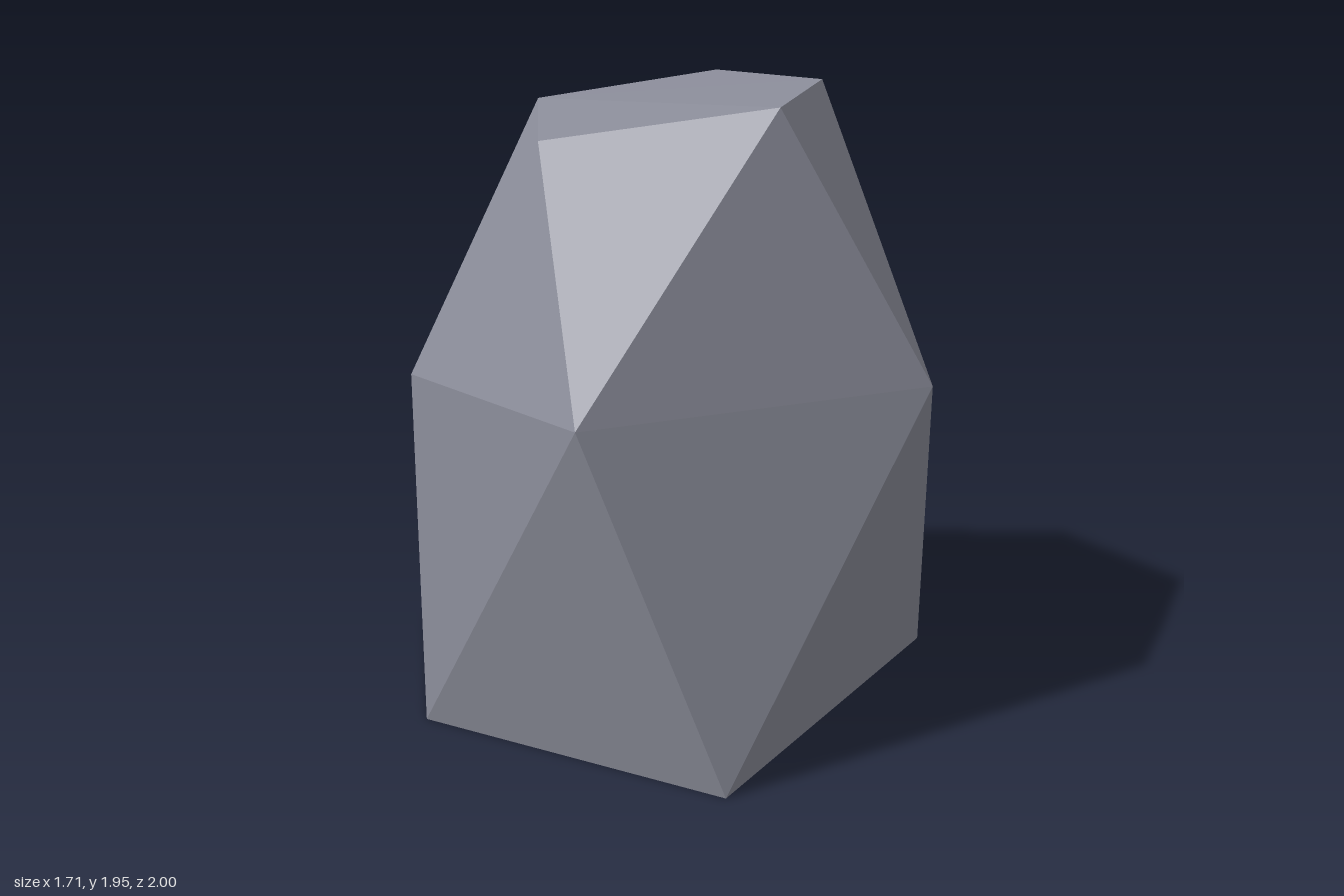
import * as THREE from 'three';

// Three five-cornered rings, each turned half a step from the one below
const base = [[0.11, 0, 1], [-0.79, 0, 0.43], [-0.855, 0, -0.4], [0.16, 0, -1], [0.855, 0, -0.14]];
const waist = [[-0.31, 1.09, 0.94], [-0.81, 1.09, 0.31], [-0.19, 1.09, -0.86], [0.6, 1.09, -0.51], [0.755, 1.09, 0.52]];
const crown = [[-0.41, 1.81, 0.37], [-0.42, 1.86, -0.22], [0.17, 1.92, -0.46], [0.46, 1.95, 0.07], [0.29, 1.92, 0.49]];

function facetedRock(rings) {
  const n = rings[0].length;
  const positions = [];
  const tri = (a, b, c) => positions.push(...a, ...b, ...c);

  // Sides: alternating upward and downward triangles between rings
  for (let r = 0; r < rings.length - 1; r++) {
    const low = rings[r], high = rings[r + 1];
    for (let i = 0; i < n; i++) {
      const j = (i + 1) % n;
      tri(low[i], high[i], low[j]);
      tri(low[j], high[i], high[j]);
    }
  }

  // Flat underside and gently folded top
  const bottom = rings[0], top = rings[rings.length - 1];
  for (let k = 1; k < n - 1; k++) {
    tri(bottom[0], bottom[k], bottom[k + 1]);
    tri(top[1], top[(k + 2) % n], top[(k + 1) % n]);
  }

  const geometry = new THREE.BufferGeometry();
  geometry.setAttribute('position', new THREE.Float32BufferAttribute(positions, 3));
  geometry.computeVertexNormals();
  return geometry;
}

export function createModel() {
  const group = new THREE.Group();
  group.name = 'boulder';
  const stone = new THREE.MeshStandardMaterial({ color: 0x8a8c99, flatShading: true });
  stone.name = 'stone grey';
  const rock = new THREE.Mesh(facetedRock([base, waist, crown]), stone);
  rock.name = 'rock';
  group.add(rock);
  return group;
}
